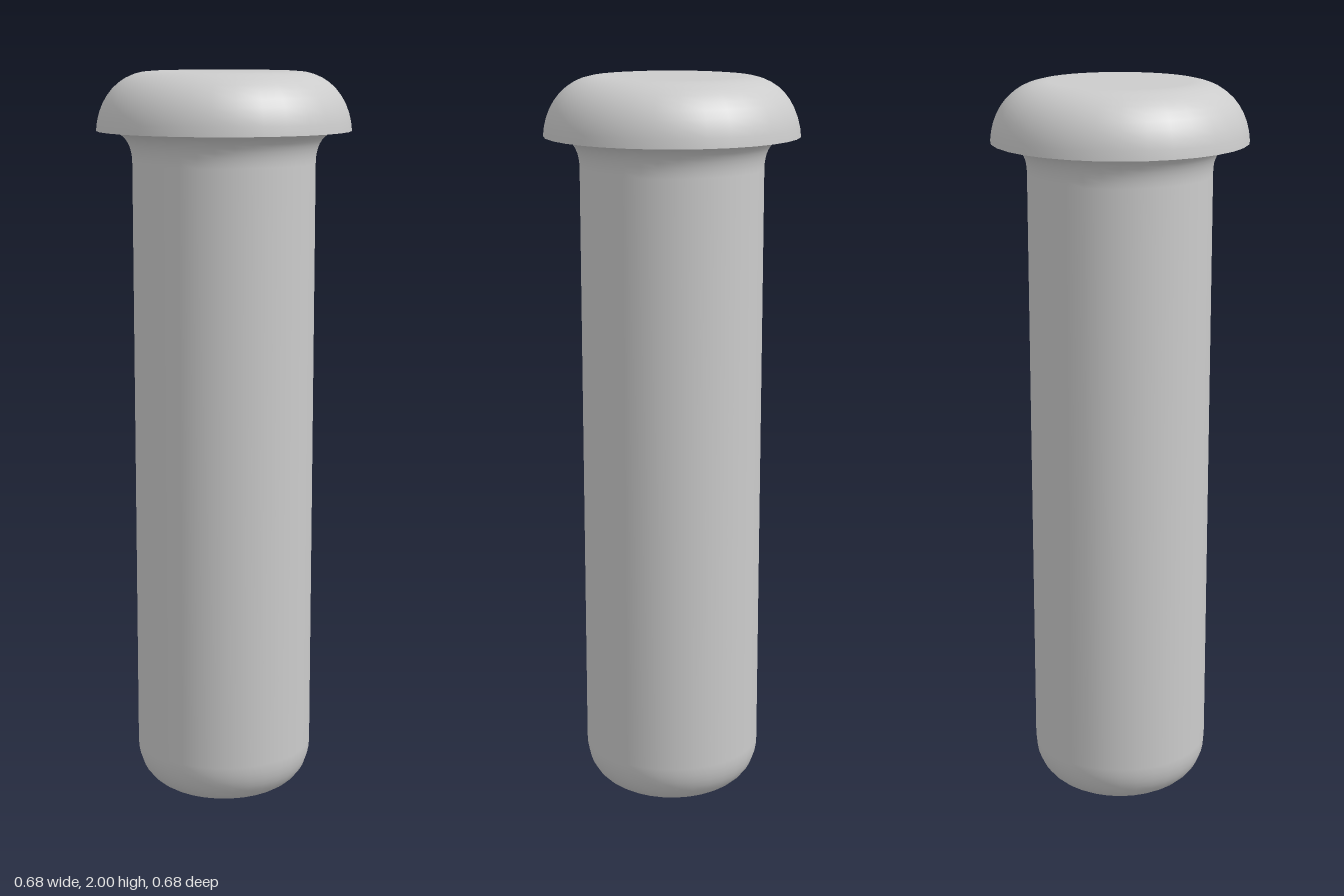
import * as THREE from 'three';

const SIDES = 32;

// Revolves a smooth profile drawn from bottom to top
function revolve(name, profile, material) {
  const points = profile.getPoints(10);
  const mesh = new THREE.Mesh(new THREE.LatheGeometry(points, SIDES), material);
  mesh.name = name;
  return mesh;
}

export function createModel() {
  const group = new THREE.Group();
  group.name = 'rivet';
  const material = new THREE.MeshStandardMaterial({ color: 0xcccccc });

  // Shank: rounded foot, straight body, fillet flaring out to the head's rim
  const shank = new THREE.Path();
  shank.moveTo(0, 0);
  shank.lineTo(0.13, 0);
  shank.bezierCurveTo(0.2, 0.005, 0.245, 0.05, 0.245, 0.13);
  shank.lineTo(0.245, 1.76);
  shank.bezierCurveTo(0.245, 1.81, 0.265, 1.845, 0.315, 1.845);
  shank.lineTo(0.34, 1.845);
  group.add(revolve('shank', shank, material));

  // Head: domed cap with a flat crown, sharp at the rim
  const head = new THREE.Path();
  head.moveTo(0.34, 1.845);
  head.bezierCurveTo(0.335, 1.93, 0.28, 2, 0.19, 2);
  head.lineTo(0, 2);
  group.add(revolve('head', head, material));

  return group;
}
